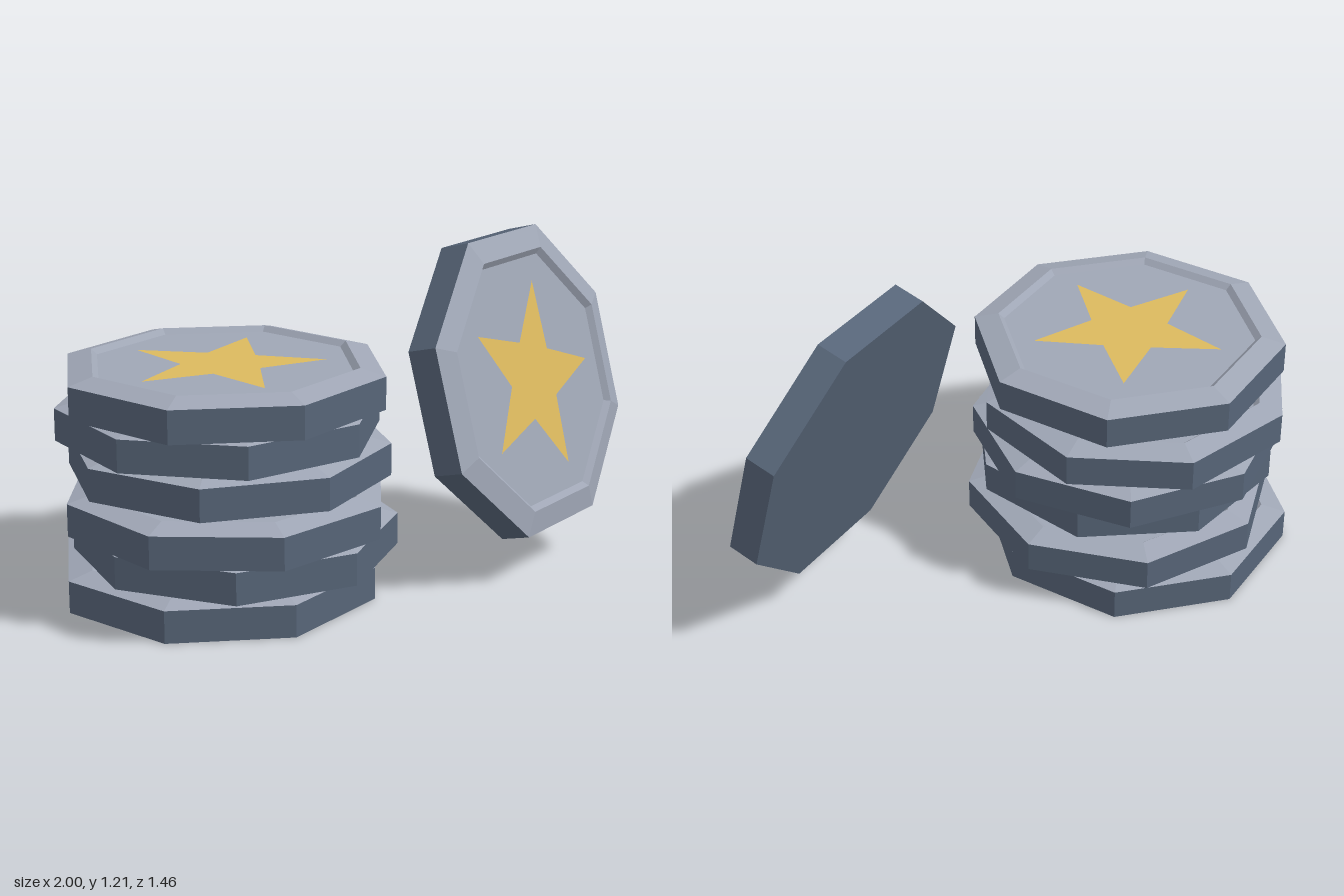
import * as THREE from 'three';

const steel = new THREE.MeshStandardMaterial({ color: 0x576578 });
steel.name = 'dark steel';
const silver = new THREE.MeshStandardMaterial({ color: 0x9fa6b5 });
silver.name = 'silver';
const gold = new THREE.MeshStandardMaterial({ color: 0xdcb95e });
gold.name = 'gold';

const rad = THREE.MathUtils.degToRad;

// Eight-sided solid from [apothem, height] points, with flat facets
function octagon(profile) {
  const points = profile.map(([a, y]) => new THREE.Vector2(a / Math.cos(Math.PI / 8), y));
  const geometry = new THREE.LatheGeometry(points, 8, Math.PI / 8).toNonIndexed();
  geometry.computeVertexNormals();
  return geometry;
}

// Flat five-pointed star facing up, one point along +x
function starGeometry() {
  const points = [];
  for (let i = 0; i < 10; i++) {
    const r = i % 2 ? 0.147 : 0.357;
    const a = (i * Math.PI) / 5;
    points.push(new THREE.Vector2(r * Math.cos(a), r * Math.sin(a)));
  }
  return new THREE.ShapeGeometry(new THREE.Shape(points)).rotateX(-Math.PI / 2);
}

const bodyGeometry = octagon([[0, 0], [0.532, 0], [0.532, 0.116]]);
// Bevel, sloping recess wall and recessed floor
const faceGeometry = octagon([[0.532, 0.116], [0.449, 0.14], [0.429, 0.121], [0, 0.121]]);
const emblemGeometry = starGeometry();

function makeCoin(name) {
  const coin = new THREE.Group();
  coin.name = name;
  const add = (part, geometry, material, y = 0) => {
    const mesh = new THREE.Mesh(geometry, material);
    mesh.name = part;
    mesh.position.y = y;
    coin.add(mesh);
  };
  add('coinBody', bodyGeometry, steel);
  add('coinFace', faceGeometry, silver);
  add('star', emblemGeometry, gold, 0.124);
  return coin;
}

export function createModel() {
  const model = new THREE.Group();
  model.name = 'coinPile';

  // Stacked coins, bottom to top: x, z, turn in degrees
  const stack = [
    [-0.398, -0.164, 0],
    [-0.361, -0.112, 17.8],
    [-0.446, -0.073, -8.6],
    [-0.37, -0.135, 8.6],
    [-0.39, -0.156, -17.5],
    [-0.44, -0.092, -45],
  ];
  stack.forEach(([x, z, turn], i) => {
    const coin = makeCoin('stackedCoin' + (i + 1));
    coin.position.set(x, i * 0.143, z);
    coin.rotation.y = rad(turn);
    model.add(coin);
  });

  // Coin tilted back against the stack
  const leaning = makeCoin('leaningCoin');
  leaning.position.set(0.468, 0.669, 0.478);
  leaning.rotation.x = rad(74.5);
  model.add(leaning);

  return model;
}
